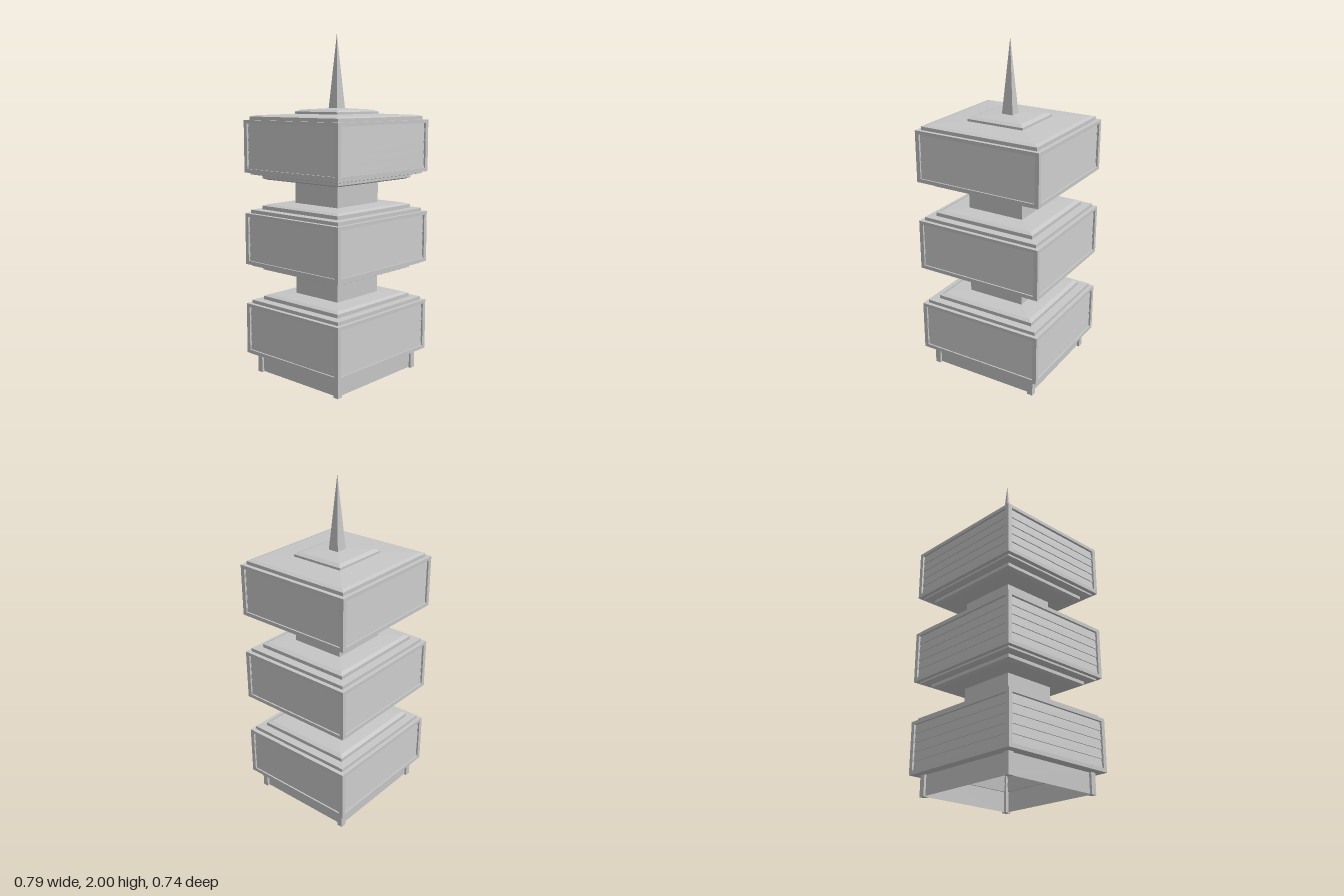
import * as THREE from 'three';

const DEPTH = 0.935; // depth to width ratio of every square course
const TIER_STEP = 0.545;

const stone = new THREE.MeshStandardMaterial({ color: 0xc6c6c6, side: THREE.DoubleSide });
stone.name = 'stone grey';

// Open rectangular shell through [half width, height] rings, listed from the bottom up
function shell(name, profile) {
  const pos = [];
  const corners = [[-1, 1], [1, 1], [1, -1], [-1, -1]];
  const point = ([r, y], c) => [corners[c % 4][0] * r, y, corners[c % 4][1] * r * DEPTH];
  for (let i = 0; i < profile.length - 1; i++) {
    for (let c = 0; c < 4; c++) {
      const a = point(profile[i], c), b = point(profile[i], c + 1);
      const d = point(profile[i + 1], c + 1), e = point(profile[i + 1], c);
      pos.push(...a, ...b, ...d, ...a, ...d, ...e);
    }
  }
  const geo = new THREE.BufferGeometry();
  geo.setAttribute('position', new THREE.Float32BufferAttribute(pos, 3));
  geo.computeVertexNormals();
  const mesh = new THREE.Mesh(geo, stone);
  mesh.name = name;
  return mesh;
}

// Four upright corner posts whose outer faces sit at half width r
function posts(name, r, width, y0, y1) {
  const group = new THREE.Group();
  group.name = name;
  const geo = new THREE.BoxGeometry(width, y1 - y0, width);
  for (const sx of [-1, 1]) {
    for (const sz of [-1, 1]) {
      const post = new THREE.Mesh(geo, stone);
      post.name = name + 'Post';
      post.position.set(sx * (r - width / 2), (y0 + y1) / 2, sz * (r * DEPTH - width / 2));
      group.add(post);
    }
  }
  return group;
}

// Rails around five overlapping boards, closed by corner posts
function tierWalls(y0) {
  const group = new THREE.Group();
  group.name = 'tierWalls';
  const y1 = y0 + 0.305, low = y0 + 0.022, high = y1 - 0.02, boards = 5;
  const profile = [[0.37, y0], [0.395, y0], [0.395, low]];
  for (let i = 0; i < boards; i++) {
    const h = (high - low) / boards;
    profile.push([0.386, low + i * h], [0.38, low + (i + 1) * h]);
  }
  profile.push([0.395, high], [0.395, y1], [0.37, y1]);
  group.add(shell('boardedWalls', profile), posts('tierCorner', 0.395, 0.025, y0, y1));
  return group;
}

export function createModel() {
  const model = new THREE.Group();
  model.name = 'tower';

  // Hollow plinth
  model.add(shell('plinthWalls', [[0.333, 0.004], [0.333, 0.12], [0.37, 0.12]]));
  model.add(posts('plinthCorner', 0.348, 0.034, 0, 0.12));

  for (let i = 0; i < 3; i++) {
    const y = 0.12 + i * TIER_STEP;
    model.add(tierWalls(y));
    if (i === 2) break;

    // Stepped cap, narrow neck and stepped underside of the next tier
    const t = y + 0.305, n = y + TIER_STEP;
    model.add(shell('steppedCap', [
      [0.37, t], [0.37, t + 0.02], [0.32, t + 0.022], [0.32, t + 0.043],
      [0.295, t + 0.052], [0.178, t + 0.058],
    ]));
    model.add(shell('neck', [[0.178, t + 0.058], [0.178, n - 0.047]]));
    model.add(shell('steppedUnderside', [
      [0.178, n - 0.047], [0.295, n - 0.044], [0.32, n - 0.035], [0.32, n - 0.016],
      [0.345, n - 0.016], [0.37, n - 0.011], [0.37, n],
    ]));
  }

  // Shallow roof with a raised middle
  model.add(shell('roof', [
    [0.37, 1.515], [0.37, 1.535], [0.345, 1.542], [0.178, 1.55],
    [0.178, 1.563], [0.152, 1.574], [0.035, 1.582],
  ]));
  model.add(shell('spire', [[0.035, 1.58], [0.0005, 2]]));
  return model;
}
